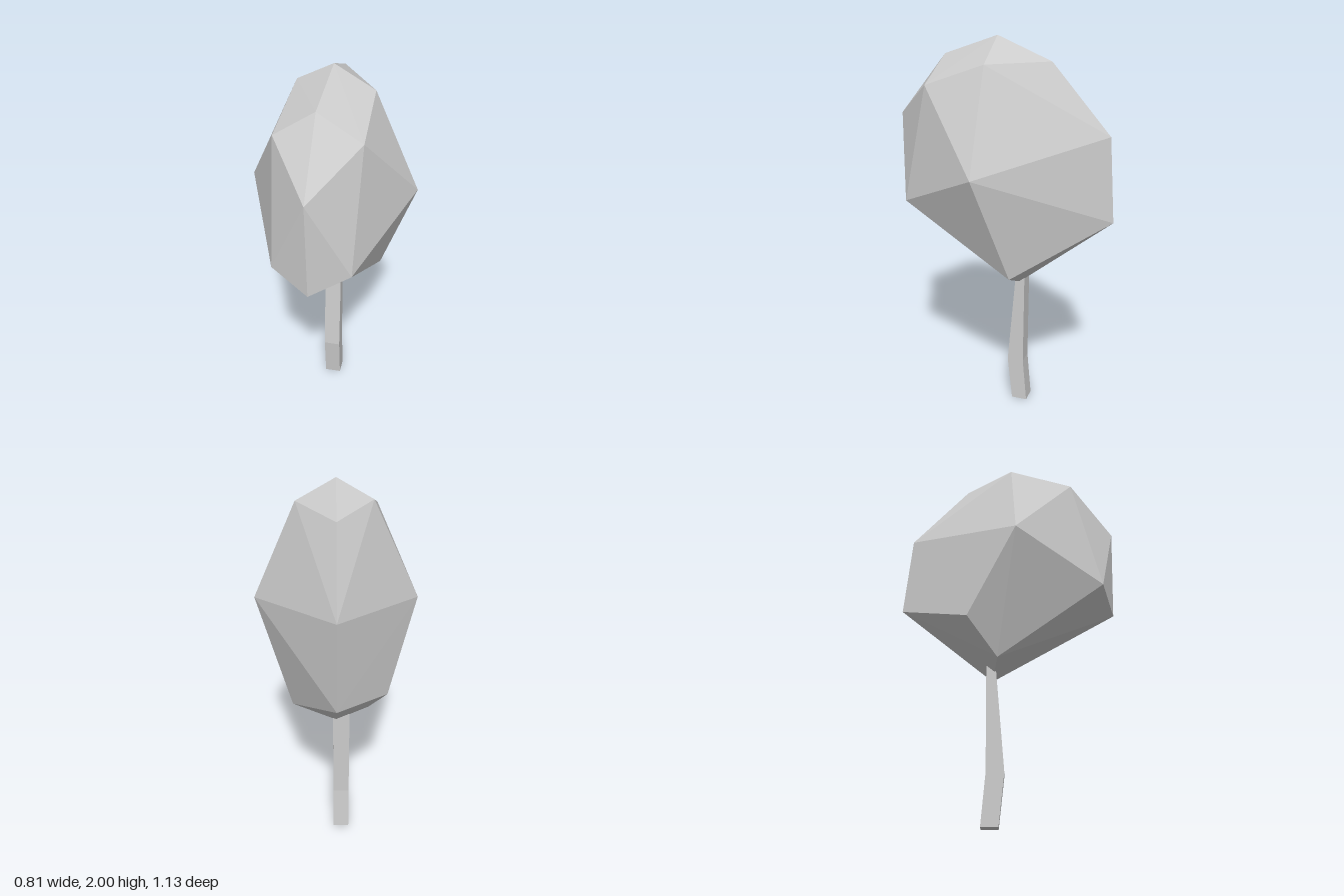
import * as THREE from 'three';
import { ConvexGeometry } from 'three/addons/geometries/ConvexGeometry.js';

const material = new THREE.MeshStandardMaterial({ color: 0xcccccc, flatShading: true });

// Faceted crown: the hull around a few corner points
function makeCrown() {
  const corners = [
    // cap
    [0, 2, 0.035], [0, 1.89, -0.235], [-0.02, 1.9, 0.315],
    [-0.175, 1.905, 0.01], [0.19, 1.89, 0.035],
    // upper front
    [-0.21, 1.78, 0.33], [0.19, 1.78, 0.335], [-0.02, 1.59, 0.565],
    // widest sides and back ridge
    [-0.405, 1.4, 0.03], [0.405, 1.4, 0.03],
    [0, 1.555, -0.53], [0, 1.125, -0.565],
    // lower front
    [-0.205, 1.18, 0.475], [0.17, 1.18, 0.475], [-0.02, 1.09, 0.545],
    // underside
    [-0.255, 0.98, -0.21], [-0.17, 0.795, -0.06],
    [0.225, 0.845, -0.1], [0, 0.73, -0.085],
  ].map((p) => new THREE.Vector3(...p));
  const crown = new THREE.Mesh(new ConvexGeometry(corners), material);
  crown.name = 'crown';
  return crown;
}

// Square trunk with one bend, narrowing front to back toward the crown
function makeTrunk() {
  const rings = [
    { y: 0, z: -0.092, depth: 0.084 },
    { y: 0.25, z: -0.068, depth: 0.088 },
    { y: 0.8, z: -0.093, depth: 0.046 },
  ];
  const geometry = new THREE.BoxGeometry(0.086, 2, 1, 1, 2, 1);
  const pos = geometry.attributes.position;
  for (let i = 0; i < pos.count; i++) {
    const ring = rings[Math.round(pos.getY(i)) + 1];
    pos.setXYZ(i, pos.getX(i) - 0.027, ring.y, ring.z + pos.getZ(i) * ring.depth);
  }
  geometry.computeVertexNormals();
  const trunk = new THREE.Mesh(geometry, material);
  trunk.name = 'trunk';
  return trunk;
}

export function createModel() {
  const tree = new THREE.Group();
  tree.name = 'tree';
  tree.add(makeCrown(), makeTrunk());
  return tree;
}
